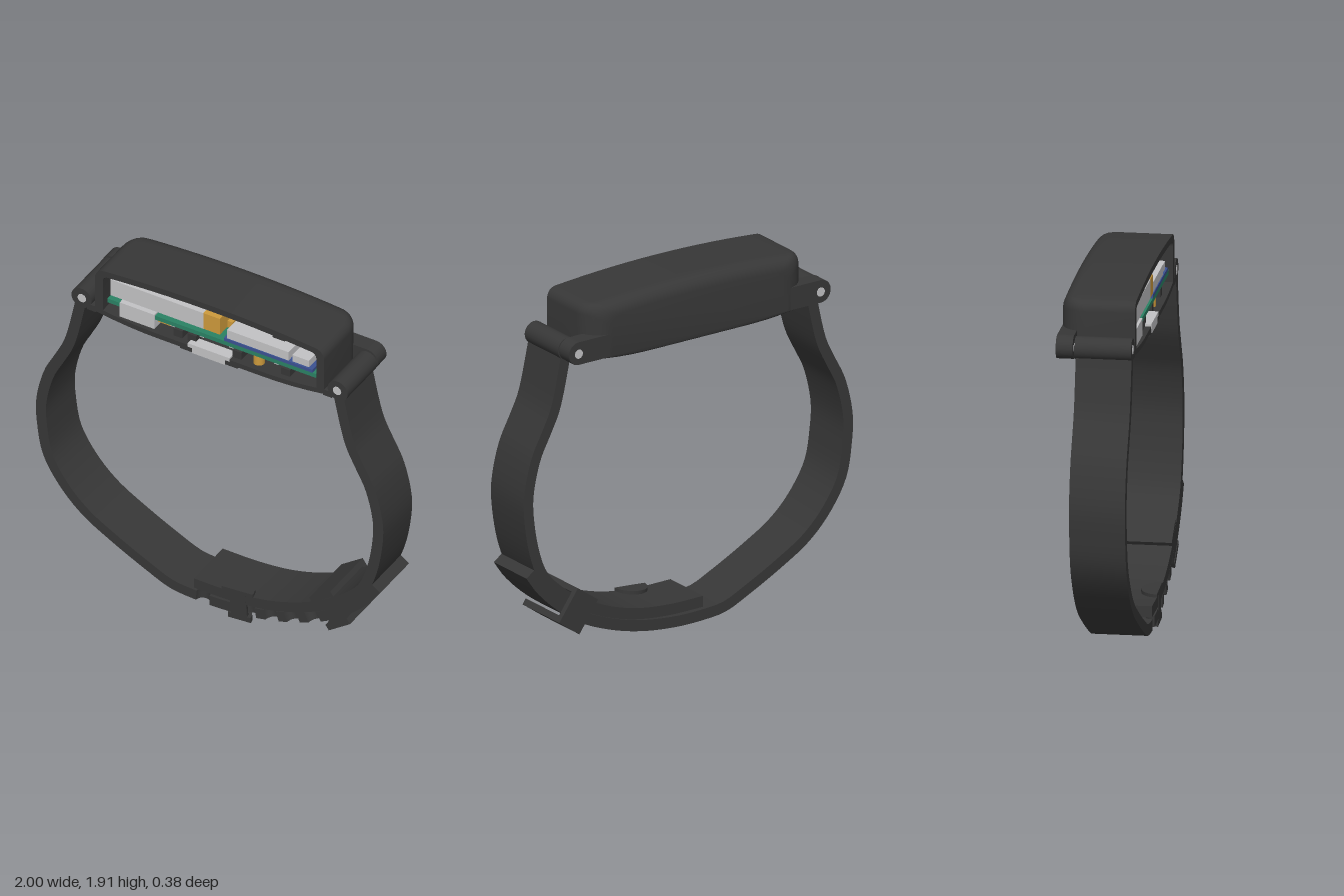
import * as THREE from 'three';
import { toCreasedNormals } from 'three/addons/utils/BufferGeometryUtils.js';

const CUT = 0.19; // plane where the device is sectioned

const paint = (name, color) => {
  const m = new THREE.MeshStandardMaterial({ color });
  m.name = name;
  return m;
};

// Skin a list of equal-length closed rings and cap both ends
function loft(rings, crease = 0.5) {
  const pos = [];
  const tri = (...p) => p.forEach((v) => pos.push(v.x, v.y, v.z));
  const n = rings[0].length;
  for (let i = 0; i < rings.length - 1; i++) {
    for (let j = 0; j < n; j++) {
      const k = (j + 1) % n;
      const [a, b, c, d] = [rings[i][j], rings[i][k], rings[i + 1][k], rings[i + 1][j]];
      tri(a, d, c);
      tri(a, c, b);
    }
  }
  const last = rings[rings.length - 1];
  for (let j = 1; j < n - 1; j++) {
    tri(rings[0][0], rings[0][j], rings[0][j + 1]);
    tri(last[0], last[j + 1], last[j]);
  }
  const g = new THREE.BufferGeometry();
  g.setAttribute('position', new THREE.Float32BufferAttribute(pos, 3));
  return toCreasedNormals(g, crease);
}

// Case outline at depth z: arched top with rounded shoulders, shallow bowed floor
function caseRing(z, w, top, bottom, r) {
  const pts = [];
  const arch = (x) => top - 0.032 * (x / 0.66) ** 2;
  const floor = (x) => bottom + 0.03 * Math.max(0, (Math.abs(x) - 0.3) / 0.36) ** 2;
  const add = (x, y) => pts.push(new THREE.Vector3(x, y, z));
  for (let i = 0; i <= 14; i++) {
    const x = -w + (2 * w * i) / 14;
    add(x, floor(x));
  }
  const cx = w - r, cy = arch(cx) - r;
  for (let i = 0; i <= 6; i++) {
    const a = (i / 6) * Math.PI / 2;
    add(cx + r * Math.cos(a), cy + r * Math.sin(a));
  }
  for (let i = 1; i < 14; i++) {
    const x = cx - (2 * cx * i) / 14;
    add(x, arch(x));
  }
  for (let i = 6; i >= 0; i--) {
    const a = (i / 6) * Math.PI / 2;
    add(-cx - r * Math.cos(a), cy + r * Math.sin(a));
  }
  return pts;
}

function caseGeometry() {
  const rings = [
    caseRing(-0.13, 0.57, 1.865, 1.61, 0.03),
    caseRing(-0.08, 0.615, 1.872, 1.61, 0.03),
    caseRing(CUT, 0.615, 1.872, 1.61, 0.03),
    caseRing(CUT, 0.66, 1.907, 1.582, 0.055),
  ];
  const round = (d, r) => (d >= r ? 0 : r - Math.sqrt(r * r - (r - d) ** 2));
  for (let i = 8; i >= 0; i--) {
    const d = 0.13 * (1 - Math.cos((i / 8) * Math.PI / 2));
    rings.push(caseRing(-CUT + d, 0.66 - round(d, 0.13), 1.907 - round(d, 0.07), 1.582 + round(d, 0.015), 0.055));
  }
  return loft(rings, 0.6);
}

// Strap of rectangular section along a path, with half holes on the cut edge
function strapGeometry(points, holes = [], steps = 60) {
  const curve = new THREE.CatmullRomCurve3(points.map(([x, y]) => new THREE.Vector3(x, y, 0)), false, 'centripetal');
  const length = curve.getLength(), r = 0.038, h = 0.029;
  const stations = [];
  for (let i = 0; i <= steps; i++) stations.push(i / steps);
  holes.forEach((c) => {
    for (let i = 0; i <= 10; i++) stations.push(c - (Math.cos((i / 10) * Math.PI) * r) / length);
  });
  stations.sort((a, b) => a - b);
  const rings = stations.map((u) => {
    const p = curve.getPointAt(u), t = curve.getTangentAt(u);
    const nrm = new THREE.Vector3(-t.y, t.x, 0).multiplyScalar(h);
    let front = CUT;
    holes.forEach((c) => {
      const s = (u - c) * length;
      if (Math.abs(s) < r) front = CUT - Math.sqrt(r * r - s * s);
    });
    return [[-0.09, -1], [front, -1], [front, 1], [-0.09, 1]].map(
      ([z, side]) => new THREE.Vector3(p.x + nrm.x * side, p.y + nrm.y * side, z));
  });
  return loft(rings, 0.4);
}

export function createModel() {
  const model = new THREE.Group();
  model.name = 'wristDevice';
  const dark = paint('dark rubber', 0x373737);
  const silver = paint('light grey metal', 0xc2c2c4);
  const green = paint('green board', 0x2a8264);
  const blue = paint('blue board', 0x3b5192);
  const gold = paint('gold', 0xcd9a3c);

  const add = (name, geo, mat, parent = model) => {
    const m = new THREE.Mesh(geo, mat);
    m.name = name;
    parent.add(m);
    return m;
  };
  // Box given by its min and max on each axis
  const box = (name, mat, x0, x1, y0, y1, z0, z1, parent) => {
    const m = add(name, new THREE.BoxGeometry(x1 - x0, y1 - y0, z1 - z0), mat, parent);
    m.position.set((x0 + x1) / 2, (y0 + y1) / 2, (z0 + z1) / 2);
    return m;
  };
  // Cylinder along z
  const rod = (name, mat, x, y, r, z0, z1) => {
    const m = add(name, new THREE.CylinderGeometry(r, r, z1 - z0, 28).rotateX(Math.PI / 2), mat);
    m.position.set(x, y, (z0 + z1) / 2);
  };
  // Cylinder along y
  const disc = (name, mat, x, z, r, y0, y1) => {
    const m = add(name, new THREE.CylinderGeometry(r, r, y1 - y0, 24), mat);
    m.position.set(x, (y0 + y1) / 2, z);
  };

  add('case', caseGeometry(), dark);

  // Lugs, hinge knuckles and pins on both sides
  for (const s of [-1, 1]) {
    const arm = new THREE.Shape();
    arm.moveTo(s * 0.52, 1.605);
    arm.lineTo(s * 0.735, 1.605);
    arm.absarc(s * 0.735, 1.665, 0.06, -Math.PI / 2, Math.PI / 2, s < 0);
    arm.lineTo(s * 0.52, 1.725);
    const lug = add('lug', new THREE.ExtrudeGeometry(arm, { depth: 0.085, bevelEnabled: false, curveSegments: 16 }), dark);
    lug.position.z = -0.188;
    rod('hingeKnuckle', dark, s * 0.738, 1.662, 0.058, -0.095, CUT);
    rod('hingePin', silver, s * 0.735, 1.662, 0.024, -0.189, CUT + 0.002);
    box('hingeBridge', dark, s * 0.68 - 0.025, s * 0.68 + 0.025, 1.605, 1.64, -0.09, CUT);
  }

  // Two strap halves, overlapping at the lower left of the wearer
  const side = [[0.742, 1.64], [0.75, 1.6], [0.81, 1.35], [0.865, 1.235], [0.925, 1.115], [0.97, 0.92], [0.965, 0.78], [0.93, 0.6]];
  const holed = side.map(([x, y]) => [-x, y]).concat([
    [-0.83, 0.44], [-0.71, 0.325], [-0.55, 0.23], [-0.35, 0.13], [-0.22, 0.075], [-0.1, 0.062], [0.08, 0.062],
    [0.3, 0.09], [0.5, 0.148], [0.66, 0.222], [0.8, 0.325], [0.9, 0.425], [0.96, 0.51]]);
  add('holedStrap', strapGeometry(holed, [0.655, 0.735, 0.774, 0.812, 0.851], 80), dark);
  const inner = side.concat([[0.88, 0.48], [0.78, 0.375], [0.65, 0.285], [0.5, 0.212], [0.32, 0.158], [0.12, 0.134], [-0.09, 0.132]]);
  add('peggedStrap', strapGeometry(inner), dark);

  // Half peg fastening the strap
  const peg = new THREE.Group();
  peg.name = 'peg';
  peg.position.set(0.165, 0.1, CUT);
  peg.rotation.z = 0.08;
  model.add(peg);
  for (const [r, y, h] of [[0.09, 0.075, 0.02], [0.046, 0, 0.17], [0.065, -0.08, 0.03]]) {
    add('pegDisc', new THREE.CylinderGeometry(r, r, h, 24, 1, false, Math.PI / 2, Math.PI), dark, peg).position.y = y;
    box('pegCutFace', dark, -r, r, y - h / 2, y + h / 2, -0.004, 0.001, peg);
  }

  // Keeper loop around both straps
  const keeper = new THREE.Group();
  keeper.name = 'keeperLoop';
  keeper.position.set(0.69, 0.267, 0);
  keeper.rotation.z = 0.62;
  model.add(keeper);
  box('keeperTop', dark, -0.075, 0.075, 0.066, 0.096, -0.125, CUT, keeper);
  box('keeperBottom', dark, -0.075, 0.075, -0.1, -0.066, -0.125, CUT, keeper);
  box('keeperSide', dark, -0.075, 0.075, -0.07, 0.07, -0.125, -0.095, keeper);

  // Boards and battery inside the case
  box('mainBoard', green, -0.6, 0.6, 1.676, 1.7, -0.1, 0.17);
  box('radioBoard', blue, 0.07, 0.58, 1.7, 1.718, -0.06, 0.17);
  box('battery', silver, -0.58, -0.045, 1.732, 1.83, -0.09, 0.175);
  box('batteryEnd', gold, -0.045, 0.05, 1.732, 1.83, -0.09, 0.174);
  box('batteryLead', gold, 0.05, 0.08, 1.73, 1.77, 0.04, 0.1);
  box('shieldCan', silver, 0.085, 0.44, 1.718, 1.77, -0.05, 0.165);
  box('smallChip', silver, 0.46, 0.555, 1.718, 1.758, 0.04, 0.16);
  box('port', silver, -0.525, -0.325, 1.622, 1.71, 0.0, 0.178);
  box('portContact', gold, -0.32, -0.25, 1.652, 1.667, 0.08, 0.15);
  for (const x of [-0.24, -0.07, 0.1, 0.36]) box('solderPin', silver, x - 0.013, x + 0.013, 1.653, 1.667, 0.1, 0.15);
  for (const x of [-0.2, -0.12, 0.14, 0.42]) box('floorRib', dark, x - 0.025, x + 0.025, 1.6, 1.655, 0.0, 0.16);
  for (const x of [0.35, 0.57]) box('ceilingRib', dark, x - 0.04, x + 0.03, 1.77, 1.87, -0.1, 0.1);

  // Skin sensor and contacts in the floor
  box('sensorRim', dark, -0.17, 0.16, 1.573, 1.592, 0.1, CUT);
  box('sensorBody', silver, -0.125, 0.115, 1.6, 1.622, 0.13, CUT + 0.002);
  box('sensorFace', silver, -0.1, 0.09, 1.57, 1.6, 0.13, CUT + 0.002);
  disc('goldContact', gold, 0.25, 0.13, 0.029, 1.579, 1.665);
  disc('skinContact', silver, 0.27, 0.0, 0.042, 1.578, 1.6);
  disc('skinContact', silver, -0.58, 0.0, 0.042, 1.593, 1.615);

  return model;
}
